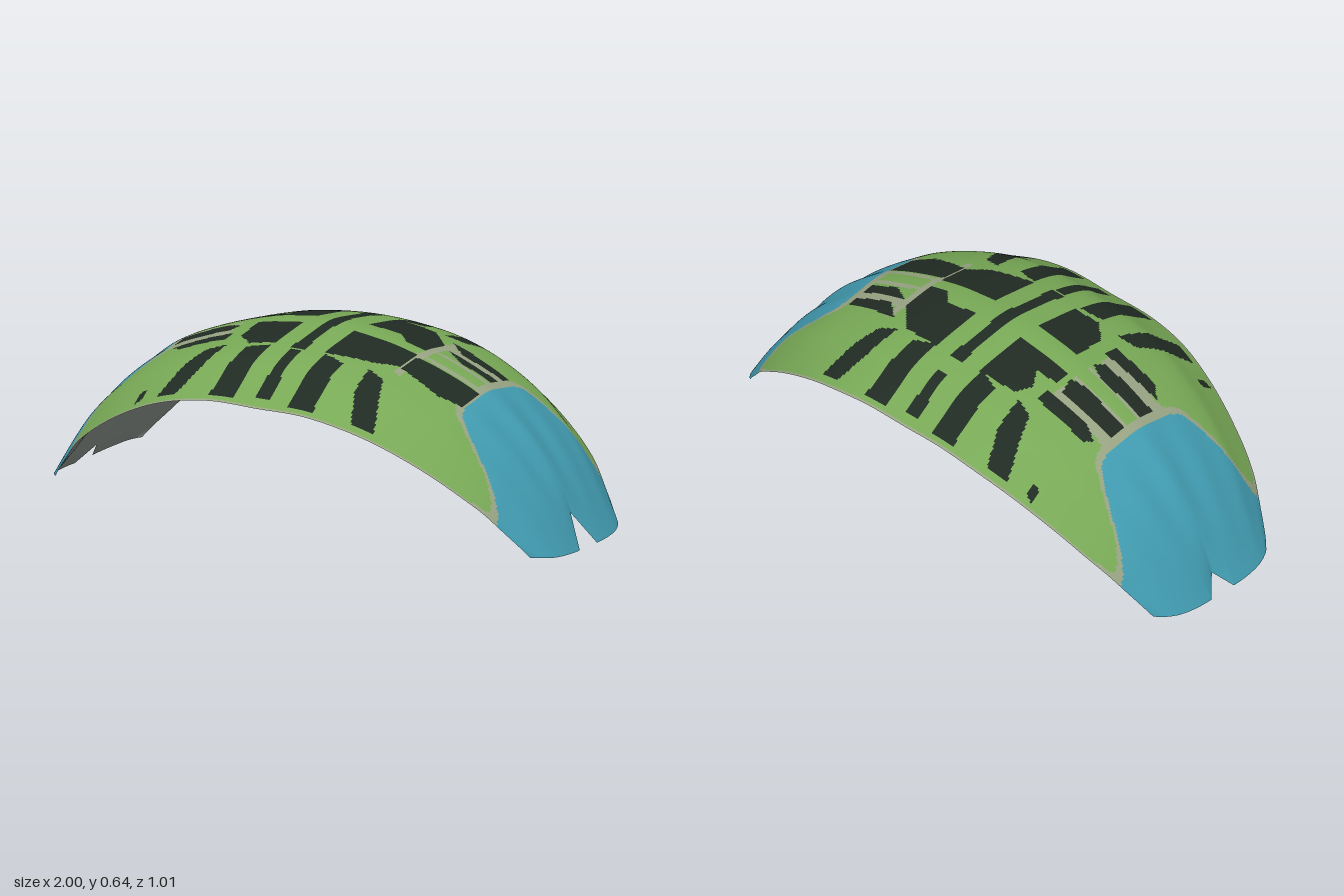
import * as THREE from 'three';

const mat = (name, color) => Object.assign(new THREE.MeshStandardMaterial({ color }), { name });

// Smooth curve y(t) through a few [t, y] points
function curve(pts) {
  const slope = i => {
    const a = pts[Math.max(0, i - 1)], b = pts[Math.min(pts.length - 1, i + 1)];
    return (b[1] - a[1]) / (b[0] - a[0]);
  };
  return t => {
    let i = 0;
    while (i < pts.length - 2 && t > pts[i + 1][0]) i++;
    const [t0, y0] = pts[i], [t1, y1] = pts[i + 1], h = t1 - t0;
    const u = Math.min(1, (t - t0) / h), w = 1 - u;
    const m0 = i === 0 && t0 === 0 ? 0 : slope(i);
    return y0 * (1 + 2 * u) * w * w + h * m0 * u * w * w
      + y1 * u * u * (3 - 2 * u) - h * slope(i + 1) * u * u * w;
  };
}

// Shell profiles by distance from the middle: ridge height, rim height, half width
const ridge = curve([[0, .64], [.2, .62], [.3, .6], [.45, .555], [.6, .49], [.7, .415], [.8, .315], [.9, .18], [1, 0]]);
const rim = curve([[0, .455], [.2, .453], [.4, .41], [.6, .32], [.8, .19], [.9, .1], [1, .02]]);
const halfWidth = curve([[0, .505], [.3, .5], [.5, .465], [.7, .408], [.8, .37], [.9, .32], [1, .275]]);
// Share of the drop from ridge to rim, and how far the end is cut back at the corners
const drop = curve([[0, 0], [.25, .08], [.5, .21], [.7, .4], [.84, .68], [1, 1]]);
const cutBack = curve([[0, 0], [.4, 0], [.7, .012], [.9, .035], [1, .06]]);

// Point on the shell: s runs along x, v across z, both -1 to 1
function shellPoint(s, v) {
  const a = Math.abs(s), w = Math.abs(v), right = s > 0;
  const notch = Math.max(0, 1 - w / .2) * a ** 14;
  const x = a - cutBack(w) * a ** 8 - notch * (right ? .07 : .05);
  const fold = Math.max(0, Math.min(1, (a - .6) / .2)) * (1 - a) * .03 * Math.cos(v * 17);
  const y = ridge(a) + (rim(a) - ridge(a)) * drop(w) + notch * (right ? .11 : .06) + fold * (1 - w);
  return [Math.sign(s) * x, Math.max(0, y), v * halfWidth(a)];
}

// Dark plates as outlines of x, z pairs in hundredths
const plates = [
  // middle bar and short bars before and behind it
  [-2.5, -25, 2.5, -25, 2.5, 24.5, -2.5, 24.5],
  [-2.8, -47, 2.8, -47, 2, -32, -2, -32],
  [-2, 25, 2, 25, 2.8, 47, -2.8, 47],
  // large inner plates
  [-25, -23, -10, -24.5, -10, -4, -32, -4, -32, -10, -24, -11, -28, -17],
  [-28, 4, -10, 4, -10, 22, -20, 23.5, -27, 17],
  [10, -24.5, 25, -23, 35, -13, 35, -1, 27, -1, 22, -6, 10, -5],
  [10, 4, 35, 4.5, 35, 15, 27, 20, 10, 23.5],
  // outer bars
  [-53, -19, -32, -19.5, -32, -14, -50, -13.5, -55, -16],
  [-58, -10, -36, -11, -34, -5, -40, -3.5, -58, -4],
  [-58, 4, -40, 3.5, -34, 6, -36, 10, -58, 10],
  [-55, 15, -32, 13.5, -32, 19, -50, 19.5],
  [34, -20, 58, -17, 58, -13.5, 42, -13],
  [38, -10.5, 58, -10, 58, -6, 46, -5.5],
  [36, 6, 60, 5, 60, 16, 52, 19, 36, 16],
];
// Radiating bars along the front and back
for (const mx of [-1, 1]) for (const mz of [-1, 1]) {
  for (const p of [
    [11, 24, 19, 26, 20.5, 48.5, 11, 48.5],
    [28, 24, 35, 26, 43, 45, 35, 47, 30, 36],
  ]) plates.push(p.map((n, i) => n * (i % 2 ? mz : mx)));
}
// Small spots on the right-hand side
for (const mz of [-1, 1]) plates.push([-53, 40 * mz, -50, 39.5 * mz, -50, 43 * mz, -53, 44 * mz]);

function inside(p, x, z) {
  let hit = false;
  for (let i = 0, j = p.length - 2; i < p.length; j = i, i += 2) {
    if ((p[i + 1] > z) !== (p[j + 1] > z)
      && x < p[i] + (p[j] - p[i]) * (z - p[i + 1]) / (p[j + 1] - p[i + 1])) hit = !hit;
  }
  return hit;
}

// Where the blue ends begin, by distance from the ridge
const blueStart = curve([[0, .61], [.19, .62], [.25, .71], [.3, .82], [.34, .845], [.37, .8], [.42, .74], [.51, .7]]);

// Colour zone: 0 green, 1 blue, 2 dark, 3 pale border
function zone(x, z, v) {
  const ax = Math.abs(x), az = Math.abs(z), start = blueStart(az);
  if (ax > start) return 1;
  if (plates.some(p => inside(p, x * 100, z * 100))) return 2;
  if (ax > start - .028 || Math.abs(v) > .982) return 3;
  // pale seams between the outer bars
  if (ax > .34 && az < .21 && (Math.abs(az - .12) < .025 || (az > .025 && az < .045))) return 3;
  if (x > .35 && x < .38 && az < .2) return 3;
  return 0;
}

// Grid over the shell, with faces sorted into groups by zone
function shellGeometry(ns, nv, zoneOf) {
  const pos = [], faces = [[], [], [], []];
  for (let i = 0; i <= ns; i++) {
    for (let j = 0; j <= nv; j++) pos.push(...shellPoint(i / ns * 2 - 1, j / nv * 2 - 1));
  }
  for (let i = 0; i < ns; i++) {
    for (let j = 0; j < nv; j++) {
      const a = i * (nv + 1) + j, b = a + 1, c = a + nv + 1, d = c + 1;
      const x = (pos[a * 3] + pos[d * 3]) / 2, z = (pos[a * 3 + 2] + pos[d * 3 + 2]) / 2;
      faces[zoneOf(x, z, (j + .5) / nv * 2 - 1)].push(a, b, c, b, d, c);
    }
  }
  const geo = new THREE.BufferGeometry();
  geo.setAttribute('position', new THREE.Float32BufferAttribute(pos, 3));
  geo.setIndex(faces.flat());
  let start = 0;
  faces.forEach((f, k) => {
    if (f.length) geo.addGroup(start, f.length, k);
    start += f.length;
  });
  geo.computeVertexNormals();
  return geo;
}

// Inner face: the shell moved inwards, thinning to nothing at the rim
function liningGeometry(ns, nv) {
  const geo = shellGeometry(ns, nv, () => 0);
  const p = geo.attributes.position, n = geo.attributes.normal;
  for (let k = 0; k < p.count; k++) {
    const s = Math.floor(k / (nv + 1)) / ns * 2 - 1, v = (k % (nv + 1)) / nv * 2 - 1;
    const t = .03 * (1 - Math.abs(v) ** 8) * (1 - Math.abs(s) ** 16);
    p.setXYZ(k, p.getX(k) - n.getX(k) * t, p.getY(k) - n.getY(k) * t, p.getZ(k) - n.getZ(k) * t);
  }
  geo.clearGroups();
  geo.setIndex(Array.from(geo.index.array).reverse());
  geo.computeVertexNormals();
  return geo;
}

export function createModel() {
  const group = new THREE.Group();
  group.name = 'curvedShell';

  const outer = new THREE.Mesh(shellGeometry(280, 140, zone), [
    mat('green', 0x78a956), mat('blue', 0x419bb0), mat('dark', 0x202b23), mat('paleBorder', 0x98a383),
  ]);
  outer.name = 'outerShell';

  const lining = new THREE.Mesh(liningGeometry(100, 60), mat('grey', 0x7f8781));
  lining.name = 'innerLining';

  group.add(outer, lining);
  return group;
}
